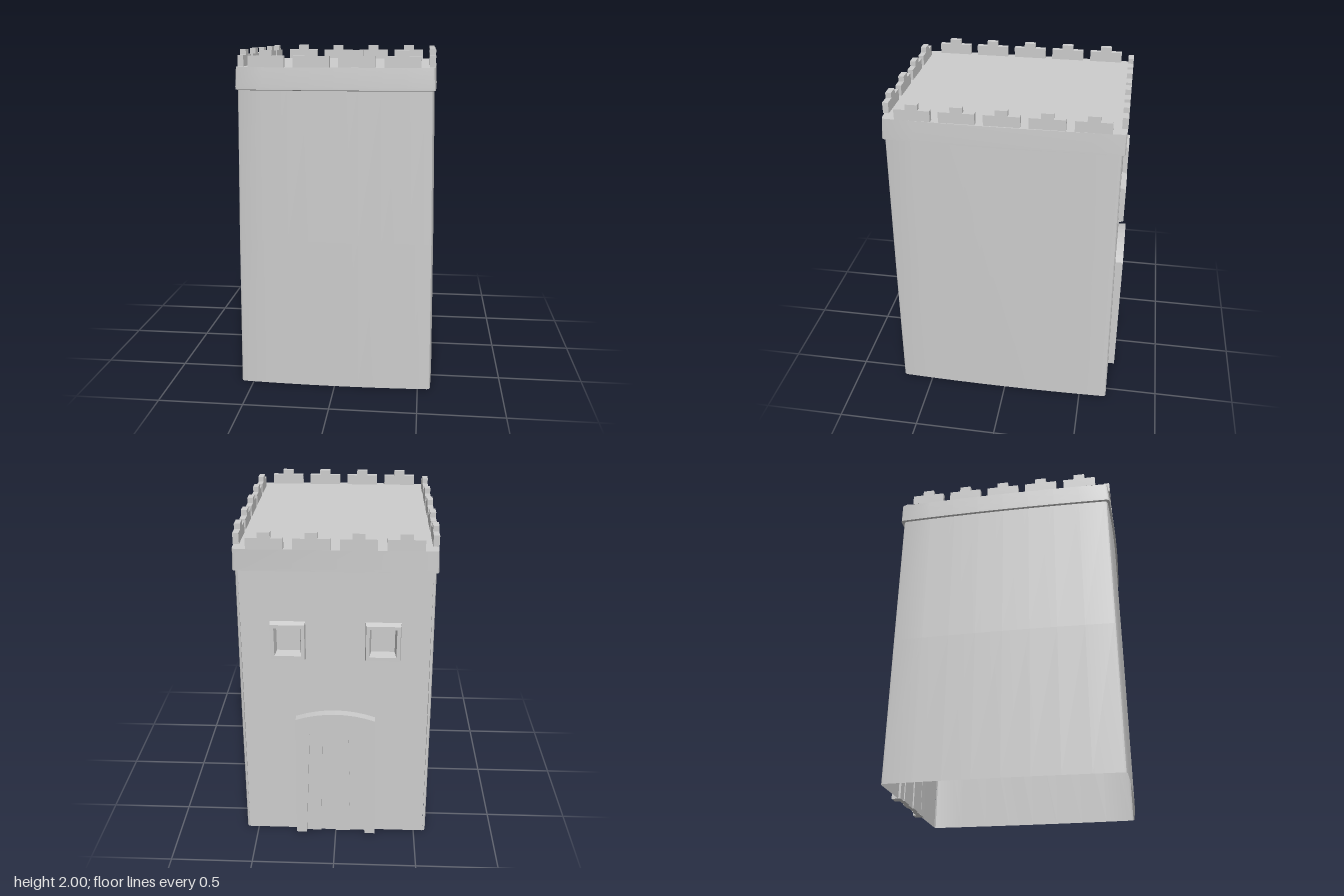
import * as THREE from 'three';
import { toCreasedNormals } from 'three/addons/utils/BufferGeometryUtils.js';

const stone = new THREE.MeshStandardMaterial({ color: 0xcccccc, side: THREE.DoubleSide });
stone.name = 'stone grey';

const WALL_TOP = 1.78, ROOF = 1.905;
const backZ = y => -0.675 + 0.015 * y / WALL_TOP;

function part(name, geometry) {
  const mesh = new THREE.Mesh(geometry, stone);
  mesh.name = name;
  return mesh;
}

// Skin over a list of rings (arrays of [x, y, z]), optionally closed and capped
function loft(rings, closed, capped) {
  const n = rings[0].length, index = [];
  for (let r = 0; r < rings.length - 1; r++) {
    for (let i = 0; i < (closed ? n : n - 1); i++) {
      const a = r * n + i, b = r * n + (i + 1) % n;
      index.push(a, a + n, b, b, a + n, b + n);
    }
  }
  const last = (rings.length - 1) * n;
  if (capped) for (let i = 1; i < n - 1; i++) index.push(last, last + i + 1, last + i);
  const g = new THREE.BufferGeometry();
  g.setAttribute('position', new THREE.Float32BufferAttribute(rings.flat(2), 3));
  g.setIndex(index);
  return toCreasedNormals(g, 0.6);
}

// Plan outline with softened corners and slightly bowed sides and front
function outline(y, hx, zf, zb) {
  const half = [[hx - 0.03, y, zb], [hx - 0.017, y, zb + 0.006]];
  const z0 = zb + 0.02, z1 = zf - 0.035;
  for (let i = 0; i <= 8; i++) {
    const u = i / 4 - 1;
    half.push([hx - 0.012 * u * u, y, THREE.MathUtils.lerp(z0, z1, i / 8)]);
  }
  half.push([hx - 0.017, y, zf - 0.022]);
  const w = hx - 0.03;
  for (let i = 0; i < 4; i++) {
    const v = 1 - i / 4;
    half.push([w * v, y, zf - 0.016 * v * v]);
  }
  const mirrored = half.map(([x, py, z]) => [-x, py, z]).reverse();
  return [...half, [0, y, zf], ...mirrored];
}

// Rectangle ring facing the back
function rect(cx, cy, hw, hh, z) {
  return [[1, -1], [1, 1], [-1, 1], [-1, -1]].map(([sx, sy]) => [cx + sx * hw, cy + sy * hh, z]);
}

// Stepped battlement block, centred in x and z
function merlonGeometry() {
  const s = new THREE.Shape();
  const pts = [[-0.102, 0], [0.102, 0], [0.102, 0.063], [0.035, 0.063], [0.035, 0.095],
    [-0.035, 0.095], [-0.035, 0.063], [-0.102, 0.063]];
  s.setFromPoints(pts.map(p => new THREE.Vector2(...p)));
  return new THREE.ExtrudeGeometry(s, { depth: 0.034, bevelEnabled: false }).translate(0, 0, -0.017);
}

export function createModel() {
  const group = new THREE.Group();
  const windowX = 0.272, windowY = 1.355;

  // Tapering walls, open underneath
  group.add(part('sideAndFrontWalls', loft([
    outline(0, 0.588, 0.715, backZ(0)),
    outline(0.9, 0.579, 0.707, backZ(0.9)),
    outline(WALL_TOP, 0.565, 0.697, backZ(WALL_TOP)),
  ], false, false)));

  // Back wall with window openings
  const wall = new THREE.Shape([[-0.558, 0], [0.558, 0], [0.535, WALL_TOP], [-0.535, WALL_TOP]]
    .map(p => new THREE.Vector2(...p)));
  for (const s of [-1, 1]) {
    wall.holes.push(new THREE.Path(rect(s * windowX, windowY, 0.088, 0.1, 0)
      .map(([x, y]) => new THREE.Vector2(x, y))));
  }
  const wallGeo = new THREE.ShapeGeometry(wall).scale(-1, 1, 1);
  const p = wallGeo.attributes.position;
  for (let i = 0; i < p.count; i++) p.setZ(i, backZ(p.getY(i)));
  wallGeo.computeVertexNormals();
  group.add(part('backWall', wallGeo));

  // Projecting band and flat roof
  group.add(part('parapetBandAndRoof', loft([
    outline(WALL_TOP - 0.005, 0.563, 0.695, -0.66),
    outline(WALL_TOP, 0.577, 0.71, -0.677),
    outline(WALL_TOP + 0.015, 0.577, 0.71, -0.677),
    outline(ROOF, 0.572, 0.702, -0.677),
  ], true, true)));

  // Battlements
  const battlements = new THREE.Group();
  battlements.name = 'battlements';
  const merlon = merlonGeometry();
  const addMerlon = (x, z, turn) => {
    const m = part('merlon', merlon);
    m.position.set(x, ROOF, z);
    m.rotation.y = turn;
    battlements.add(m);
  };
  for (let i = 0; i < 4; i++) {
    const x = (i - 1.5) * 0.255;
    addMerlon(x, 0.68, 0);
    addMerlon(x, -0.662, 0);
  }
  for (let i = 0; i < 5; i++) {
    const z = 0.005 + (i - 2) * 0.251;
    addMerlon(0.547, z, Math.PI / 2);
    addMerlon(-0.547, z, Math.PI / 2);
  }
  group.add(battlements);

  // Recessed windows with bevelled frames
  for (const s of [-1, 1]) {
    const ring = (hw, hh, z) => rect(s * windowX, windowY, hw, hh, z);
    group.add(part(s > 0 ? 'leftWindow' : 'rightWindow', loft([
      ring(0.102, 0.12, -0.66), ring(0.097, 0.108, -0.695),
      ring(0.077, 0.087, -0.695), ring(0.068, 0.078, -0.635),
    ], true, true)));
  }

  // Door surround with shallow arch
  const frame = new THREE.Shape();
  frame.moveTo(0.25, 0);
  frame.lineTo(0.237, 0.85);
  frame.quadraticCurveTo(0, 0.935, -0.237, 0.85);
  frame.lineTo(-0.25, 0);
  frame.lineTo(-0.185, 0);
  frame.lineTo(-0.155, 0.75);
  frame.quadraticCurveTo(0, 0.79, 0.155, 0.75);
  frame.lineTo(0.185, 0);
  const frameGeo = new THREE.ExtrudeGeometry(frame, { depth: 0.055, bevelEnabled: false, curveSegments: 8 });
  group.add(part('doorFrame', frameGeo.translate(0, 0, -0.716)));

  // Door planks, narrowing upwards, at alternating depths
  const door = new THREE.Group();
  door.name = 'door';
  for (let i = 0; i < 4; i++) {
    const plank = new THREE.BoxGeometry(0.093, 0.78, 0.03);
    plank.translate((i - 1.5) * 0.093, 0.39, i % 2 ? -0.678 : -0.67);
    const q = plank.attributes.position;
    for (let k = 0; k < q.count; k++) q.setX(k, q.getX(k) * (1 - 0.2 * q.getY(k)));
    plank.computeVertexNormals();
    door.add(part('plank', plank));
  }
  group.add(door);

  return group;
}
